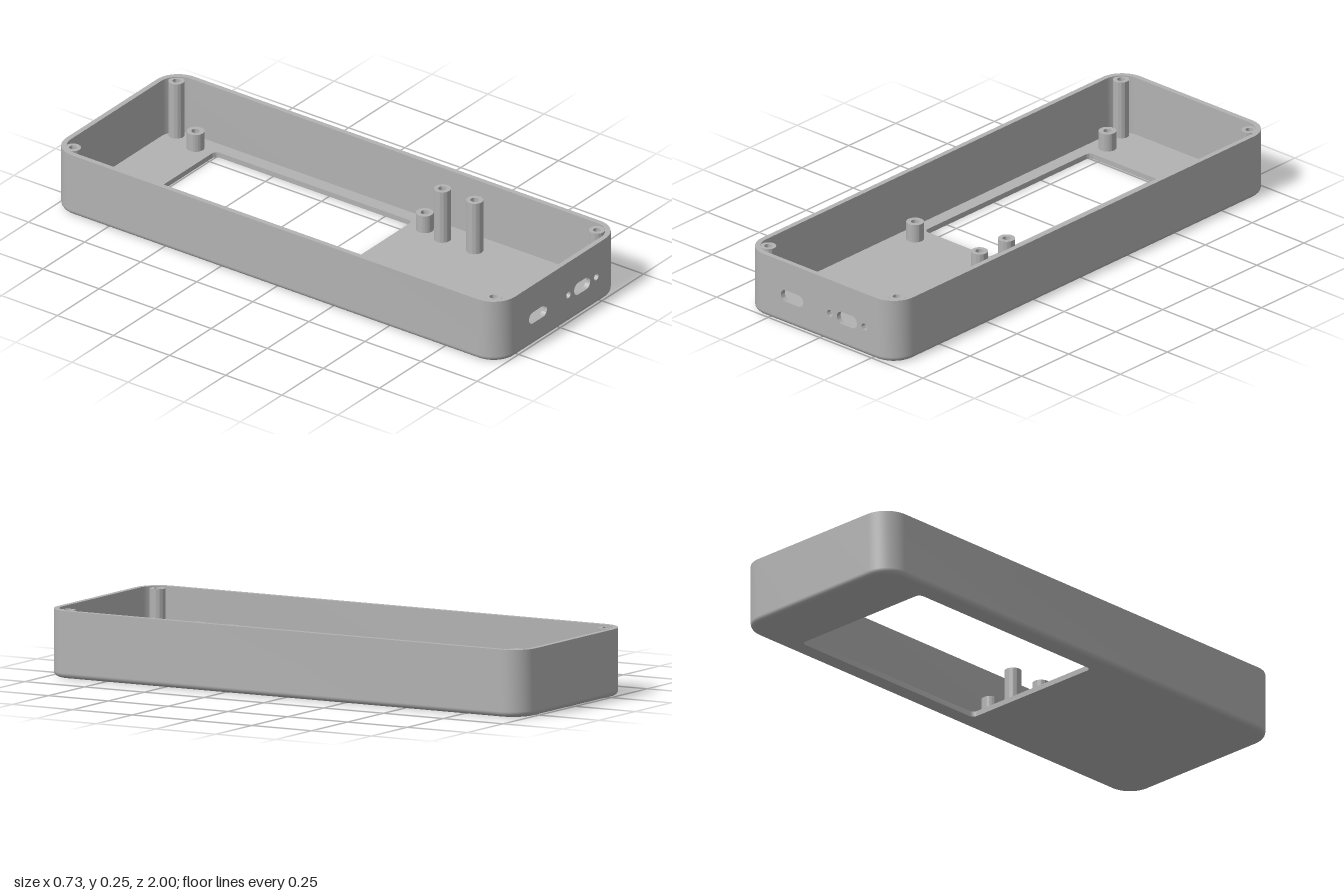
import * as THREE from 'three';
import { toCreasedNormals } from 'three/addons/utils/BufferGeometryUtils.js';

const HX = 0.367, HZ = 1, H = 0.245; // outer half width, half length, height
const R = 0.095, T = 0.02;           // corner radius; wall, floor and fillet size

// Counter-clockwise rounded rectangle, starting at the end of its lower edge
function roundedRect(hx, hy, r, cx = 0, cy = 0, n = 12) {
  const pts = [];
  [[1, -1], [1, 1], [-1, 1], [-1, -1]].forEach(([sx, sy], c) => {
    for (let i = 0; i <= n; i++) {
      const a = (c - 1 + i / n) * Math.PI / 2;
      pts.push(new THREE.Vector2(
        cx + sx * (hx - r) + r * Math.cos(a),
        cy + sy * (hy - r) + r * Math.sin(a)));
    }
  });
  return pts;
}

function circle(r, cx = 0, cy = 0) {
  return new THREE.Path().absarc(cx, cy, r, 0, Math.PI * 2, false);
}

// Extrudes an outline with holes, keeping curved sides smooth
function extrude(points, holes, depth) {
  const shape = new THREE.Shape(points);
  shape.holes.push(...holes);
  const geo = new THREE.ExtrudeGeometry(shape, { depth, bevelEnabled: false, curveSegments: 16 });
  return toCreasedNormals(geo, 0.6);
}

// Same, but standing on the ground plane: shape y becomes -z
function extrudeUp(points, holes, depth, y) {
  return extrude(points, holes, depth).rotateX(-Math.PI / 2).translate(0, y, 0);
}

// Rounded bottom edge swept round the outline
function filletBand(outer, inner, steps = 8) {
  const pos = [], nor = [], idx = [], n = outer.length;
  for (let j = 0; j <= steps; j++) {
    const a = j / steps * Math.PI / 2, s = Math.sin(a), c = Math.cos(a);
    for (let i = 0; i < n; i++) {
      const dx = outer[i].x - inner[i].x, dy = outer[i].y - inner[i].y;
      pos.push(inner[i].x + dx * s, T * (1 - c), -inner[i].y - dy * s);
      nor.push(dx / T * s, -c, -dy / T * s);
      if (j < steps) {
        const k = (i + 1) % n, p = j * n + i, q = j * n + k;
        idx.push(p, q, q + n, p, q + n, p + n);
      }
    }
  }
  const geo = new THREE.BufferGeometry();
  geo.setAttribute('position', new THREE.Float32BufferAttribute(pos, 3));
  geo.setAttribute('normal', new THREE.Float32BufferAttribute(nor, 3));
  geo.setIndex(idx);
  return geo;
}

export function createModel() {
  const model = new THREE.Group();
  model.name = 'enclosure';
  const grey = new THREE.MeshStandardMaterial({ color: 0xb2b2b2 });
  grey.name = 'grey plastic';

  const add = (name, geo) => {
    const mesh = new THREE.Mesh(geo, grey);
    mesh.name = name;
    model.add(mesh);
    return mesh;
  };

  const outer = roundedRect(HX, HZ, R);
  const inner = roundedRect(HX - T, HZ - T, R - T);

  // Floor with the display window
  const windowHole = new THREE.Path(roundedRect(0.295, 0.44, 0.02, 0, 0.317, 6));
  add('floor', extrudeUp(inner, [windowHole], T, 0));
  add('bottomFillet', filletBand(outer, inner));

  // Side and back walls as one C-shaped run
  add('sideAndBackWalls', extrudeUp([...outer, ...inner.slice().reverse()], [], H - T, T));

  // Front wall with two slots and two round holes
  const w = HX - R;
  const panel = [[-w, T], [w, T], [w, H], [-w, H]].map(([x, y]) => new THREE.Vector2(x, y));
  const ports = [
    new THREE.Path(roundedRect(0.054, 0.0225, 0.0224, -0.134, 0.112)),
    new THREE.Path(roundedRect(0.0485, 0.024, 0.0239, 0.1315, 0.112)),
    circle(0.013, 0.049, 0.112),
    circle(0.013, 0.216, 0.112),
  ];
  add('frontWall', extrude(panel, ports, T).translate(0, 0, HZ - T));

  // Hollow screw posts standing on the floor
  const addPost = (name, x, z, top, r, bore) => {
    const ring = circle(r).getPoints(32).slice(0, -1);
    add(name, extrudeUp(ring, [circle(bore)], top - T, T)).position.set(x, 0, z);
  };
  for (const x of [-1, 1]) {
    for (const z of [-0.942, 0.933]) addPost('cornerPost', x * 0.311, z, 0.241, 0.029, 0.014);
    for (const z of [-0.83, 0.192]) addPost('displayPost', x * 0.275, z, 0.088, 0.032, 0.015);
  }
  for (const z of [0.286, 0.43]) addPost('boardPost', 0.254, z, 0.225, 0.031, 0.015);

  return model;
}
